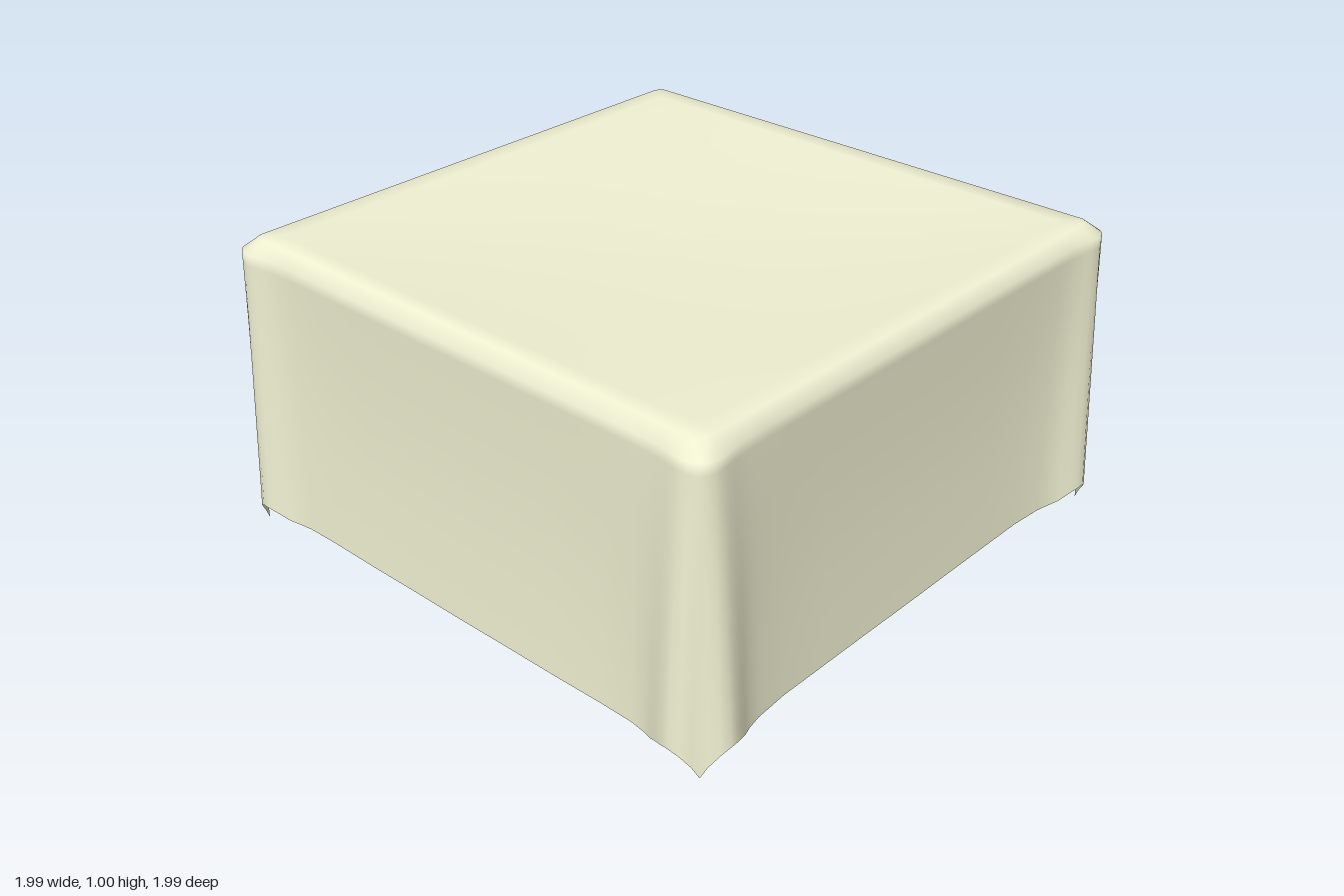
import * as THREE from 'three';

// Half of one side of the cloth, from its middle to the corner:
// [along at top, outward at top, along at hem, outward at hem, hem height]
const HALF = [
  [0, 0.93, 0, 0.935, 0.055], [0.2, 0.93, 0.2, 0.935, 0.056], [0.4, 0.93, 0.4, 0.936, 0.057],
  [0.58, 0.93, 0.58, 0.937, 0.059], [0.7, 0.93, 0.7, 0.944, 0.06], [0.75, 0.931, 0.75, 0.953, 0.06],
  [0.79, 0.934, 0.785, 0.967, 0.066], [0.82, 0.938, 0.82, 0.983, 0.084], [0.85, 0.943, 0.85, 0.993, 0.094],
  [0.875, 0.945, 0.878, 0.997, 0.098], [0.895, 0.943, 0.908, 0.985, 0.08], [0.913, 0.937, 0.929, 0.96, 0.04],
  [0.927, 0.927, 0.941, 0.941, 0.0],
];
const SHOULDER_Y = 0.962;
const RIM = 0.897;
const SAG = 0.035;
const BOW = 0.012;

// Closed outline: four mirrored sides, each turned a quarter further
function outline() {
  const side = [
    ...HALF.slice(1).reverse().map(([a, o, b, p, y]) => [-a, o, -b, p, y]),
    ...HALF.slice(0, -1),
  ];
  const points = [];
  for (let i = 0; i < 4; i++) {
    const c = Math.round(Math.cos(i * Math.PI / 2)), s = Math.round(Math.sin(i * Math.PI / 2));
    const turn = (along, out) => [along * c + out * s, out * c - along * s];
    for (const [a, o, b, p, y] of side) {
      // Front and back hang a little further out than the sides
      const middle = 1 - THREE.MathUtils.smoothstep(Math.abs(a), 0.5, 0.85);
      const flare = (i % 2 ? -0.006 : 0.01) * middle;
      const corner = Math.abs(a) > 0.92;
      points.push({
        rim: turn(a * 0.957, corner ? 0.887 : RIM),
        top: turn(a, o),
        hem: turn(b, p + flare),
        inward: turn(0, -BOW * middle),
        y,
      });
    }
  }
  return points;
}

function clothGeometry() {
  const loop = outline(), n = loop.length;
  const scales = [0, 0.15, 0.3, 0.45, 0.6, 0.75, 0.85, 0.93, 1];
  const drops = [0, 0.04, 0.12, 0.25, 0.4, 0.55, 0.7, 0.85, 0.95, 1];
  const pos = [], index = [];
  // Top, sagging gently between the rails
  for (const s of scales) {
    for (const { rim } of loop) {
      const x = rim[0] * s, z = rim[1] * s;
      const dip = Math.max(0, 1 - (x / RIM) ** 2) * Math.max(0, 1 - (z / RIM) ** 2);
      pos.push(x, 1 - SAG * dip, z);
    }
  }
  // Hanging sides
  for (const v of drops) {
    const bow = Math.sin(Math.PI * v);
    for (const { top, hem, inward, y } of loop) {
      pos.push(
        THREE.MathUtils.lerp(top[0], hem[0], v) + inward[0] * bow,
        THREE.MathUtils.lerp(SHOULDER_Y, y, v),
        THREE.MathUtils.lerp(top[1], hem[1], v) + inward[1] * bow,
      );
    }
  }
  const rings = scales.length + drops.length;
  for (let k = 0; k < rings - 1; k++) {
    for (let j = 0; j < n; j++) {
      const j2 = (j + 1) % n;
      // The -x side is open between its two corner folds
      const z = (loop[j].top[1] + loop[j2].top[1]) / 2;
      const onOpenSide = loop[j].top[0] < -0.92 && z > -0.82 && z < 0.77;
      if (k >= scales.length && onOpenSide) continue;
      const a = k * n + j, b = (k + 1) * n + j, c = (k + 1) * n + j2, d = k * n + j2;
      index.push(a, b, c);
      if (k > 0) index.push(a, c, d);
    }
  }
  const g = new THREE.BufferGeometry();
  g.setAttribute('position', new THREE.Float32BufferAttribute(pos, 3));
  g.setIndex(index);
  g.computeVertexNormals();
  return g;
}

export function createModel() {
  const model = new THREE.Group();
  model.name = 'drapedTable';
  const clothMat = new THREE.MeshStandardMaterial({ color: 0xf0f0d2, side: THREE.DoubleSide });
  const metal = new THREE.MeshStandardMaterial({ color: 0x999999 });
  const rubber = new THREE.MeshStandardMaterial({ color: 0x666666 });

  const add = (parent, name, geometry, material, x, y, z) => {
    const mesh = new THREE.Mesh(geometry, material);
    mesh.name = name;
    mesh.position.set(x, y, z);
    parent.add(mesh);
  };

  add(model, 'tablecloth', clothGeometry(), clothMat, 0, 0, 0);

  // Legs with a sleeve and a flat foot at each corner
  const L = 0.865;
  for (const x of [-L, L]) {
    for (const z of [-L, L]) {
      const leg = new THREE.Group();
      leg.name = 'leg';
      leg.position.set(x, 0, z);
      add(leg, 'legTube', new THREE.CylinderGeometry(0.012, 0.012, 0.91, 12), metal, 0, 0.505, 0);
      add(leg, 'legSleeve', new THREE.CylinderGeometry(0.017, 0.017, 0.045, 12), metal, 0, 0.0275, 0);
      add(leg, 'foot', new THREE.CylinderGeometry(0.034, 0.036, 0.006, 20), rubber, 0, 0.004, 0);
      model.add(leg);
    }
  }

  // Rails joining the legs just under the top
  for (const s of [-1, 1]) {
    add(model, 'sideRail', new THREE.BoxGeometry(0.025, 0.03, 2 * L), metal, s * L, 0.96, 0);
    add(model, 'crossRail', new THREE.BoxGeometry(2 * L, 0.03, 0.025), metal, 0, 0.96, s * L);
  }
  return model;
}
